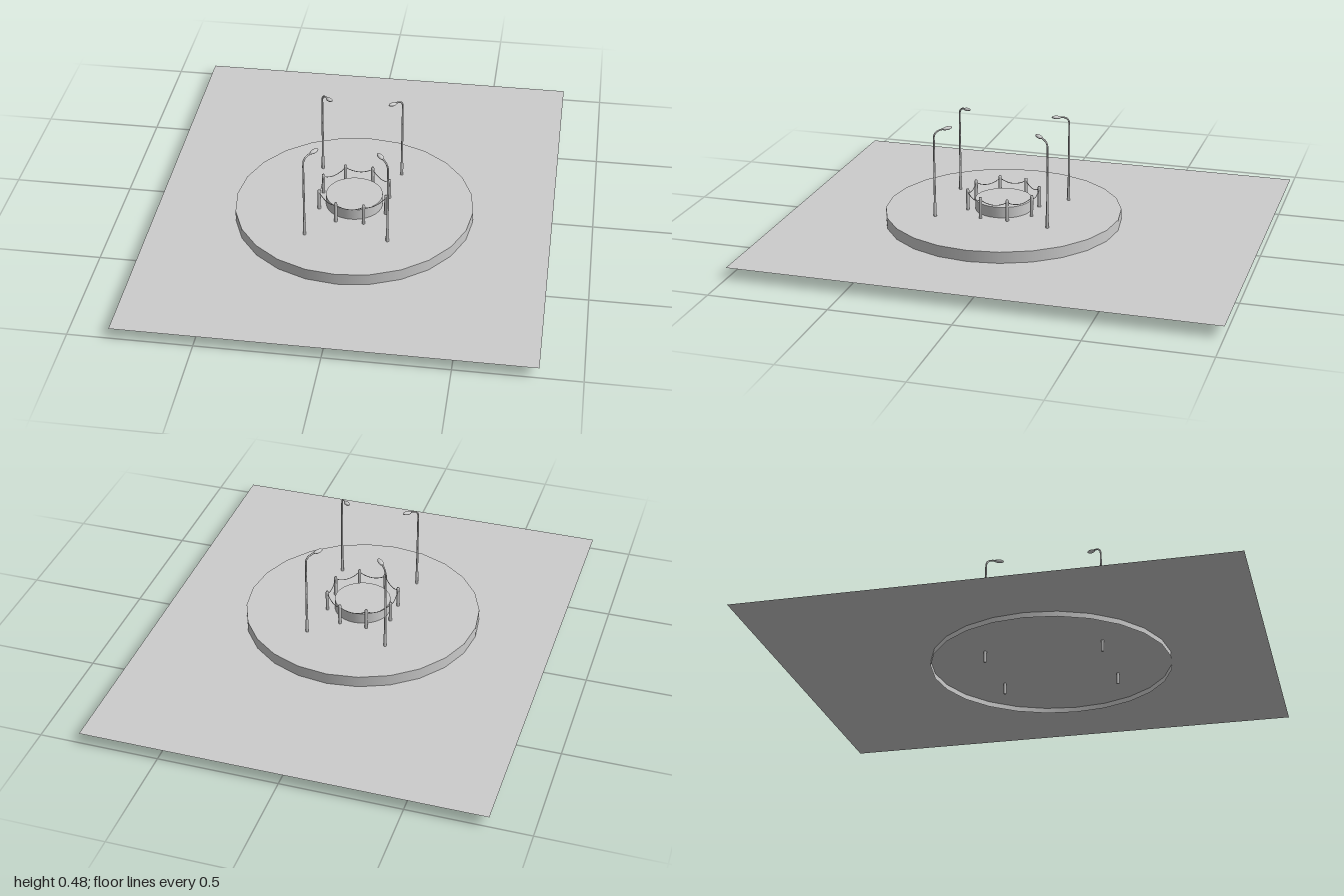
import * as THREE from 'three';

const CENTER_Z = 0.1;
const DECK_Y = 0.095;

export function createModel() {
  const root = new THREE.Group();
  const grey = new THREE.MeshStandardMaterial({ color: 0xcccccc });
  const thin = new THREE.MeshStandardMaterial({ color: 0xcccccc, side: THREE.DoubleSide });

  const add = (parent, name, geometry, material = grey) => {
    const mesh = new THREE.Mesh(geometry, material);
    mesh.name = name;
    parent.add(mesh);
    return mesh;
  };

  // Flat sheet of ground
  add(root, 'ground', new THREE.PlaneGeometry(1.66, 2).rotateX(-Math.PI / 2), thin).position.y = 0.047;

  // Round plaza: a wall open underneath, closed by a deck on top
  const plaza = new THREE.Group();
  plaza.name = 'plaza';
  plaza.position.z = CENTER_Z;
  root.add(plaza);
  add(plaza, 'plazaWall', new THREE.CylinderGeometry(0.5, 0.5, 0.07, 24, 1, true), thin).position.y = 0.06;
  add(plaza, 'plazaDeck', new THREE.CircleGeometry(0.5, 24).rotateX(-Math.PI / 2), thin).position.y = DECK_Y;

  // Low round plinth in the middle
  add(plaza, 'plinth', new THREE.CylinderGeometry(0.119, 0.119, 0.05, 32)).position.y = 0.117;

  // Ring of eight bollards joined by sagging chains
  const corner = (i) => {
    const a = (i + 0.5) * Math.PI / 4;
    return new THREE.Vector3(Math.cos(a) * 0.152, 0, Math.sin(a) * 0.152);
  };
  const bollardProfile = [[0, 0], [0.007, 0], [0.007, 0.086], [0.0055, 0.092], [0, 0.092]]
    .map(([r, y]) => new THREE.Vector2(r, y));
  const bollardGeometry = new THREE.LatheGeometry(bollardProfile, 12);
  for (let i = 0; i < 8; i++) {
    const from = corner(i);
    const to = corner(i + 1);
    add(plaza, 'bollard', bollardGeometry).position.set(from.x, DECK_Y, from.z);
    const points = [];
    for (let k = 0; k <= 6; k++) {
      const t = k / 6;
      const p = from.clone().lerp(to, t);
      p.y = 0.176 - 0.018 * 4 * t * (1 - t);
      points.push(p);
    }
    add(plaza, 'chain', new THREE.TubeGeometry(new THREE.CatmullRomCurve3(points), 14, 0.0016, 6));
  }

  // Street lamps: pole, curved arm and oval head, leaning inwards along local +z
  const poleProfile = [[0, 0], [0.0065, 0], [0.0065, 0.15], [0.0048, 0.158], [0.0038, 0.435]]
    .map(([r, y]) => new THREE.Vector2(r, y));
  const poleGeometry = new THREE.LatheGeometry(poleProfile, 12);
  const armPath = new THREE.CatmullRomCurve3([
    [0, 0.43, 0], [0, 0.452, 0.002], [0, 0.465, 0.012], [0, 0.471, 0.026], [0, 0.474, 0.046],
  ].map((p) => new THREE.Vector3(...p)));
  const armGeometry = new THREE.TubeGeometry(armPath, 16, 0.0037, 8);
  const headGeometry = new THREE.SphereGeometry(1, 16, 10).scale(0.0105, 0.007, 0.022);
  headGeometry.rotateX(-0.12).translate(0, 0.475, 0.059);

  for (const sx of [-1, 1]) {
    for (const sz of [-1, 1]) {
      const lamp = new THREE.Group();
      lamp.name = 'streetLamp';
      lamp.position.set(sx * 0.171, 0, 0.104 + sz * 0.244);
      lamp.rotation.y = Math.atan2(-sx * 0.62, -sz * 0.78);
      add(lamp, 'lampPole', poleGeometry);
      add(lamp, 'lampArm', armGeometry);
      add(lamp, 'lampHead', headGeometry);
      root.add(lamp);
    }
  }
  return root;
}
